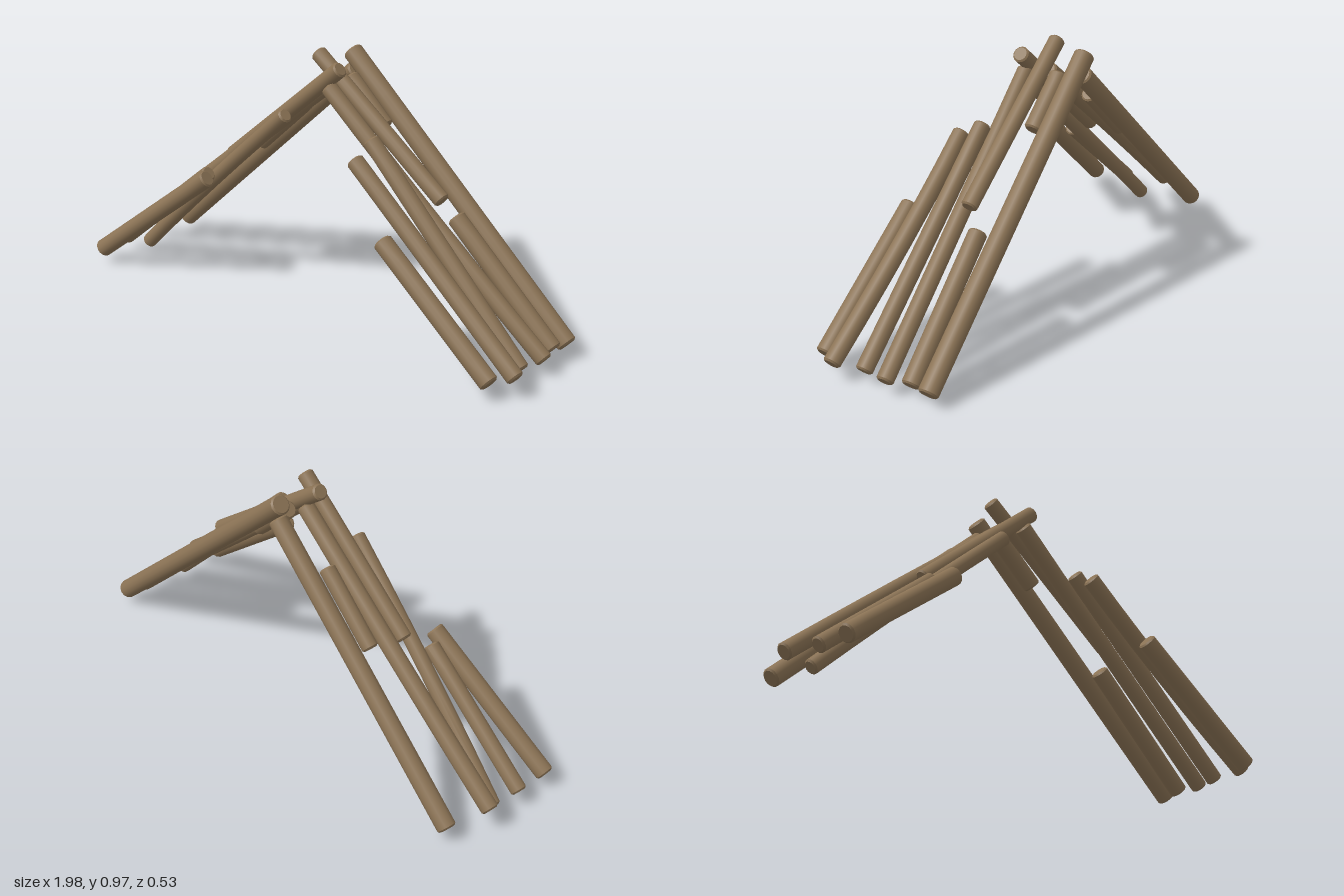
import * as THREE from 'three';
import { toCreasedNormals } from 'three/addons/utils/BufferGeometryUtils.js';

// Each log: name, radius, upper end, lower end, optional middle point
const LOGS = [
  // left slope (+x)
  ['leftBackRafter', 0.037, [-0.05, 0.945, -0.233], [0.935, 0.06, -0.233]],
  ['leftShortLog', 0.034, [0.0, 0.87, -0.16], [0.17, 0.715, -0.157]],
  ['leftLowerLog', 0.034, [0.5, 0.455, -0.147], [0.925, 0.065, -0.157]],
  ['leftUpperLog', 0.03, [-0.095, 0.96, -0.093], [0.48, 0.525, -0.094]],
  ['leftMiddleRafter', 0.031, [0.01, 0.865, -0.028], [0.95, 0.065, -0.068], [0.46, 0.475, -0.044]],
  ['leftOuterLogA', 0.031, [0.235, 0.725, 0.008], [0.925, 0.06, 0.037]],
  ['leftOuterLogB', 0.032, [0.235, 0.675, 0.098], [0.972, 0.08, 0.137], [0.58, 0.39, 0.11]],
  ['leftFrontLog', 0.035, [0.43, 0.45, 0.185], [0.915, 0.07, 0.208]],
  // right slope (-x)
  ['rightBackRafter', 0.035, [-0.03, 0.875, -0.233], [-0.92, 0.06, -0.233]],
  ['rightShortLog', 0.03, [-0.205, 0.73, -0.16], [-0.44, 0.515, -0.162]],
  ['rightMiddleRafter', 0.032, [-0.02, 0.87, -0.1], [-0.972, 0.09, -0.08], [-0.5, 0.48, -0.095]],
  ['rightUpperLog', 0.03, [0.06, 0.94, -0.035], [-0.46, 0.5, -0.022]],
  ['rightOuterLogA', 0.028, [-0.135, 0.745, 0.04], [-0.915, 0.026, -0.005], [-0.53, 0.39, 0.02]],
  ['rightOuterLogB', 0.03, [-0.49, 0.445, 0.078], [-0.95, 0.065, 0.085]],
  ['rightFrontLog', 0.034, [-0.44, 0.455, 0.14], [-0.94, 0.06, 0.225]],
];

// Round log with slightly worn ends, swept from lower to upper end
function logGeometry(radius, top, bottom, middle) {
  const a = new THREE.Vector3(...bottom), b = new THREE.Vector3(...top);
  const m = middle ? new THREE.Vector3(...middle) : a.clone().lerp(b, 0.5);
  const bend = m.sub(a.clone().lerp(b, 0.5));
  const axis = b.clone().sub(a);
  const length = axis.length();
  const bevel = 0.006;

  const profile = [[0, 0], [radius - bevel, 0], [radius, bevel]];
  for (let i = 1; i < 6; i++) profile.push([radius, (length * i) / 6]);
  profile.push([radius, length - bevel], [radius - bevel, length], [0, length]);

  const geo = new THREE.LatheGeometry(profile.map(p => new THREE.Vector2(...p)), 14);
  const turn = new THREE.Quaternion().setFromUnitVectors(new THREE.Vector3(0, 1, 0), axis.normalize());
  const pos = geo.attributes.position;
  const v = new THREE.Vector3();
  for (let i = 0; i < pos.count; i++) {
    v.fromBufferAttribute(pos, i);
    const t = v.y / length;
    v.applyQuaternion(turn).add(a).addScaledVector(bend, 4 * t * (1 - t));
    pos.setXYZ(i, v.x, v.y, v.z);
  }
  return toCreasedNormals(geo, 0.6);
}

export function createModel() {
  const group = new THREE.Group();
  group.name = 'logLeanTo';
  const wood = new THREE.MeshStandardMaterial({ color: 0x8b7355 });
  wood.name = 'brown wood';
  for (const [name, radius, top, bottom, middle] of LOGS) {
    const log = new THREE.Mesh(logGeometry(radius, top, bottom, middle), wood);
    log.name = name;
    group.add(log);
  }
  return group;
}
